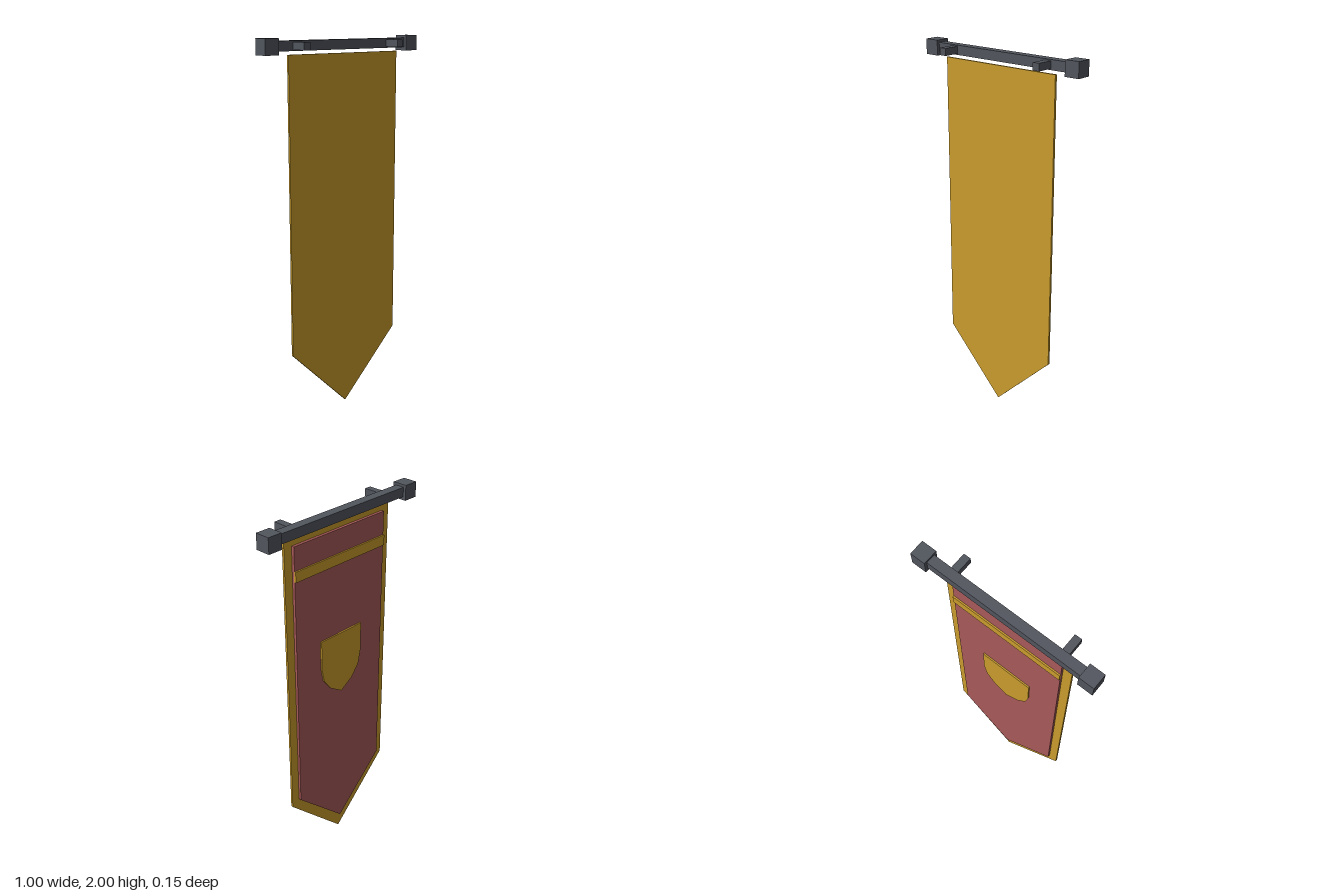
import * as THREE from 'three';

const gold = new THREE.MeshStandardMaterial({ name: 'gold cloth', color: 0xc99c2c });
const red = new THREE.MeshStandardMaterial({ name: 'red cloth', color: 0xa85959 });
const iron = new THREE.MeshStandardMaterial({ name: 'dark iron', color: 0x51555d });

export function createModel() {
  const model = new THREE.Group();
  model.name = 'wallBanner';

  const add = (name, geometry, material) => {
    const mesh = new THREE.Mesh(geometry, material);
    mesh.name = name;
    model.add(mesh);
    return mesh;
  };
  const box = (name, material, w, h, d, x, y, z) =>
    add(name, new THREE.BoxGeometry(w, h, d), material).position.set(x, y, z);

  // Flat plate extruded between two depths
  const plate = (name, material, shape, zBack, zFront) => {
    const geometry = new THREE.ExtrudeGeometry(shape, {
      depth: zFront - zBack, bevelEnabled: false, curveSegments: 3,
    });
    add(name, geometry, material).position.z = zBack;
  };

  // Cloth outline with a pointed lower end
  const pennant = (half, top, shoulder, tip) => new THREE.Shape([
    new THREE.Vector2(0, tip),
    new THREE.Vector2(half, shoulder),
    new THREE.Vector2(half, top),
    new THREE.Vector2(-half, top),
    new THREE.Vector2(-half, shoulder),
  ]);

  // Cloth: gold backing, red field, gold band
  plate('goldCloth', gold, pennant(0.358, 1.92, 0.36, 0.004), -0.019, -0.007);
  plate('redField', red, pennant(0.31, 1.885, 0.39, 0.093), -0.034, -0.018);
  box('band', gold, 0.62, 0.055, 0.012, 0, 1.733, -0.036);

  // Shield emblem
  const shield = new THREE.Shape();
  shield.moveTo(0, 0.965);
  shield.quadraticCurveTo(0.145, 1.033, 0.145, 1.16);
  shield.lineTo(0.145, 1.32);
  shield.lineTo(-0.145, 1.32);
  shield.lineTo(-0.145, 1.16);
  shield.quadraticCurveTo(-0.145, 1.033, 0, 0.965);
  plate('shield', gold, shield, -0.042, -0.03);

  // Hanging rod with end blocks and wall brackets
  box('rod', iron, 0.86, 0.05, 0.05, 0, 1.962, -0.038);
  for (const side of [-1, 1]) {
    box('rodEnd', iron, 0.08, 0.08, 0.08, side * 0.46, 1.96, -0.038);
    box('bracket', iron, 0.038, 0.038, 0.1, side * 0.306, 1.962, 0.025);
  }
  return model;
}
